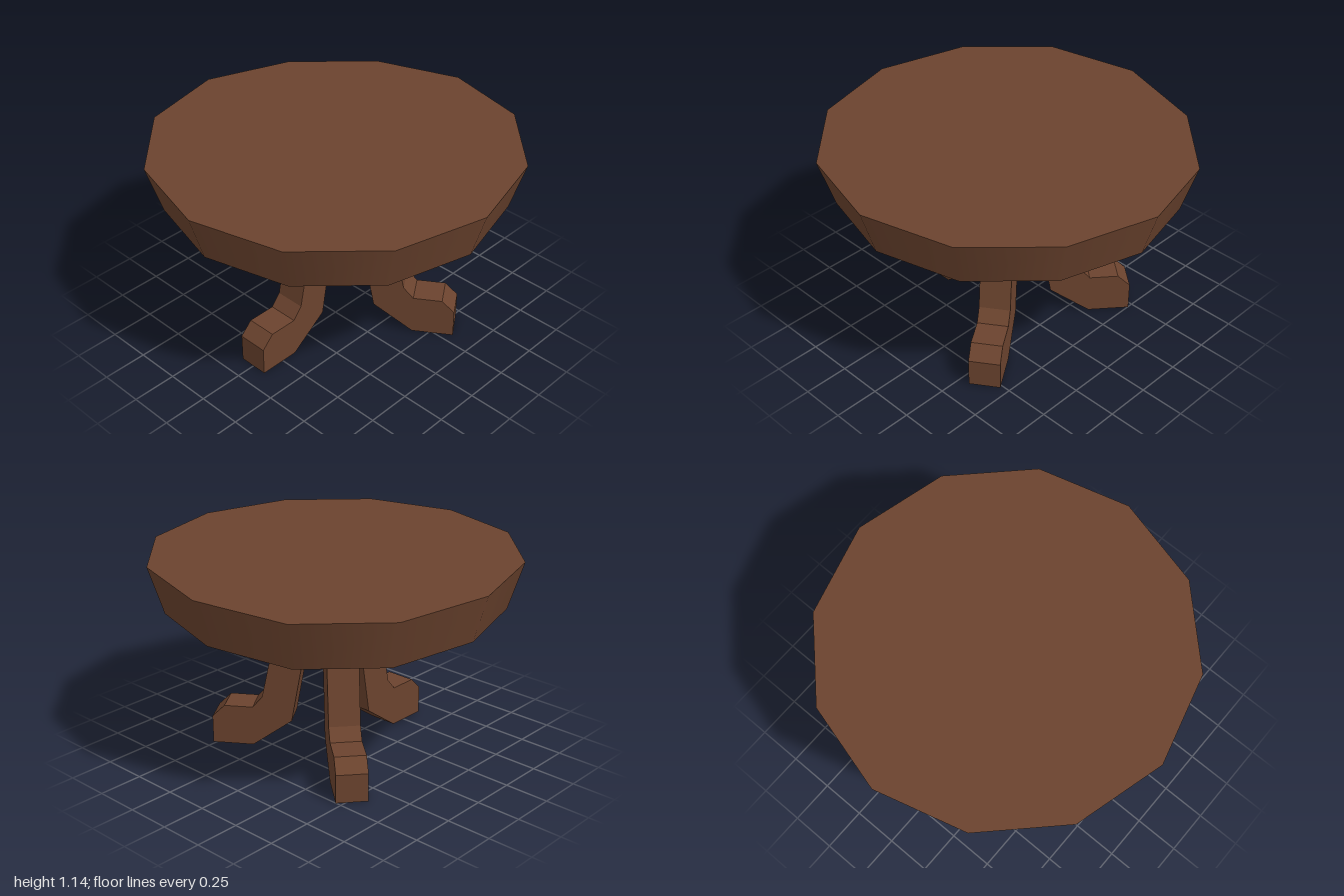
import * as THREE from 'three';

const wood = new THREE.MeshStandardMaterial({ color: 0x6b432e });
wood.name = 'brown wood';

// Twelve-sided tapered top whose back-left rim sags slightly
function makeTop() {
  const geo = new THREE.CylinderGeometry(1, 0.92, 0.26, 12);
  geo.translate(0, 1.015, 0);
  const pos = geo.attributes.position;
  for (let i = 0; i < pos.count; i++) {
    const x = pos.getX(i), z = pos.getZ(i);
    if (Math.hypot(x, z) < 0.5) continue;
    const away = Math.abs(THREE.MathUtils.radToDeg(Math.atan2(-z, x)) - 45);
    const sag = 0.045 * Math.pow(THREE.MathUtils.clamp((75 - away) / 60, 0, 1), 1.4);
    pos.setY(i, pos.getY(i) - sag);
  }
  const mesh = new THREE.Mesh(geo, wood);
  mesh.name = 'tableTop';
  return mesh;
}

// Leg outline: distance outward from the centre, height
const legProfile = [
  [0.06, 0.89], [0.19, 0.16], [0.41, 0], [0.64, 0], [0.64, 0.16],
  [0.57, 0.23], [0.41, 0.23], [0.355, 0.295], [0.23, 0.89],
];
const legWidth = 0.17;

function makeLeg(name, degrees, shift) {
  const shape = new THREE.Shape(legProfile.map(([r, y]) => new THREE.Vector2(r + shift, y)));
  const geo = new THREE.ExtrudeGeometry(shape, { depth: legWidth, bevelEnabled: false });
  geo.translate(0, 0, -legWidth / 2);
  const leg = new THREE.Mesh(geo, wood);
  leg.name = name;
  leg.rotation.y = -THREE.MathUtils.degToRad(degrees);
  return leg;
}

export function createModel() {
  const table = new THREE.Group();
  table.name = 'roundTable';
  table.add(
    makeTop(),
    makeLeg('rightLeg', 180, 0),
    makeLeg('frontLeftLeg', 56, 0.04),
    makeLeg('backLeftLeg', -50, 0.04),
  );
  return table;
}
